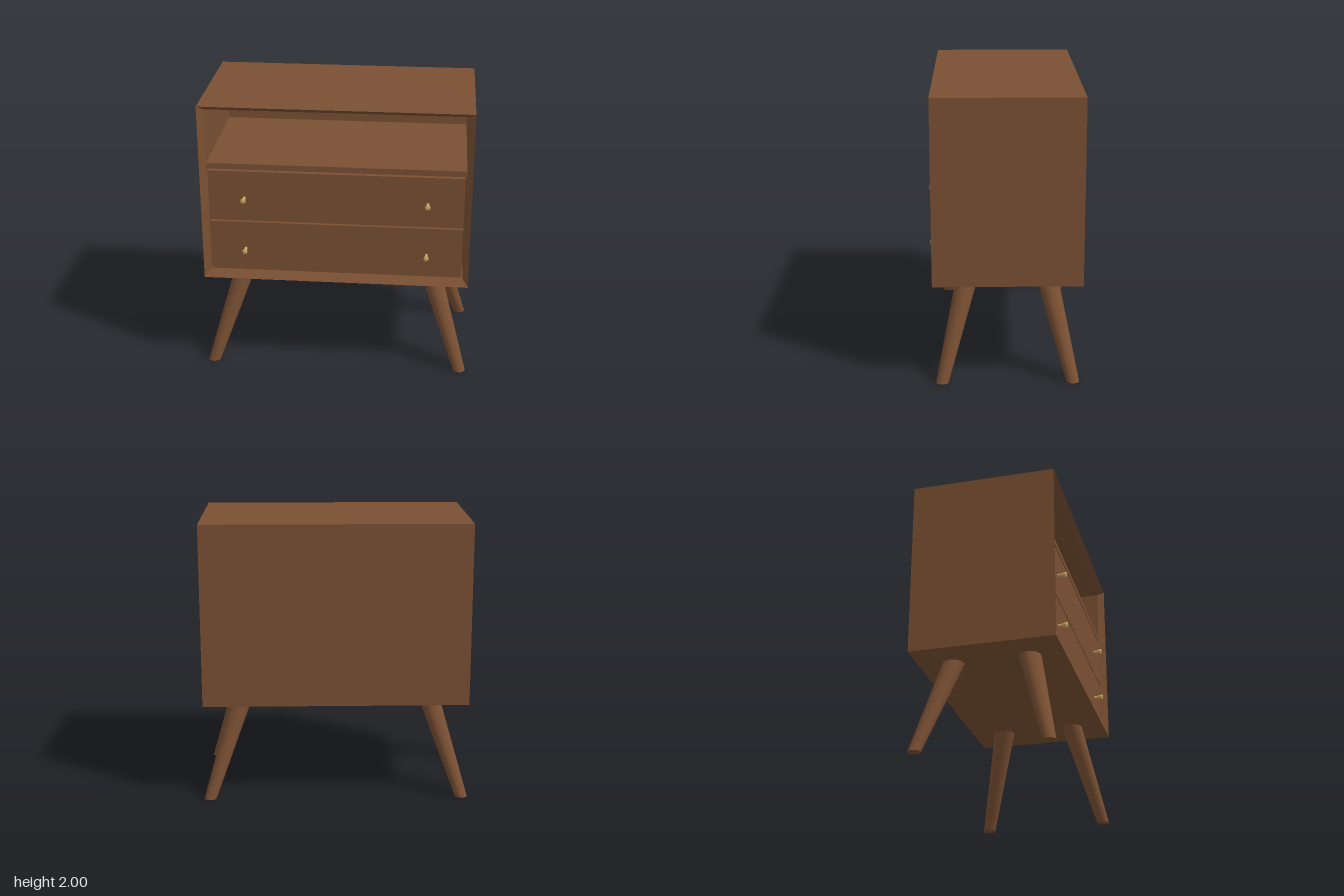
import * as THREE from 'three';

const wood = new THREE.MeshStandardMaterial({ color: 0x7a5033 });
wood.name = 'walnut wood';
const brass = new THREE.MeshStandardMaterial({ color: 0xd2ac66 });
brass.name = 'brass';

// Skins a series of rectangular rings [halfWidth, bottom, top, z], capping both ends
function ringShell(rings) {
  const corners = rings.map(([w, b, t, z]) => [[-w, b, z], [w, b, z], [w, t, z], [-w, t, z]]);
  const pos = [];
  const quad = (a, b, c, d) => pos.push(...a, ...b, ...c, ...a, ...c, ...d);
  for (let i = 0; i < corners.length - 1; i++) {
    for (let j = 0; j < 4; j++) {
      const k = (j + 1) % 4;
      quad(corners[i][j], corners[i][k], corners[i + 1][k], corners[i + 1][j]);
    }
  }
  const [a, b, c, d] = corners[0];
  quad(d, c, b, a);
  quad(...corners[corners.length - 1]);
  const geo = new THREE.BufferGeometry();
  geo.setAttribute('position', new THREE.Float32BufferAttribute(pos, 3));
  geo.computeVertexNormals();
  return geo;
}

export function createModel() {
  const model = new THREE.Group();
  model.name = 'nightstand';

  const add = (name, geo, mat, x = 0, y = 0, z = 0, parent = model) => {
    const mesh = new THREE.Mesh(geo, mat);
    mesh.name = name;
    mesh.position.set(x, y, z);
    parent.add(mesh);
    return mesh;
  };

  // Hollow case with mitred, bevelled front rim
  add('case', ringShell([
    [0.94, 0.71, 2, -0.515],
    [0.94, 0.71, 2, 0.505],
    [0.9, 0.755, 1.965, 0.455],
    [0.9, 0.755, 1.965, -0.475],
  ]), wood);

  // Shelf under the open compartment
  add('shelf', new THREE.BoxGeometry(1.8, 0.042, 0.93), wood, 0, 1.553, -0.01);

  // Knob profile: thin stem flaring to a flat head
  const knobGeo = new THREE.LatheGeometry([
    [0.01, 0], [0.01, 0.025], [0.018, 0.055], [0.018, 0.066], [0, 0.066],
  ].map(([r, h]) => new THREE.Vector2(r, h)), 16);
  knobGeo.rotateX(Math.PI / 2);

  // Two drawers with narrow gaps around them, two knobs each
  [['upperDrawer', 1.332, 1.32], ['lowerDrawer', 0.948, 0.93]].forEach(([name, y, knobY]) => {
    const drawer = new THREE.Group();
    drawer.name = name;
    model.add(drawer);
    add('drawerFront', new THREE.BoxGeometry(1.782, 0.372, 0.9), wood, 0, y, 0.005, drawer);
    for (const side of [-1, 1]) add('knob', knobGeo, brass, side * 0.64, knobY, 0.454, drawer);
  });

  // Tapered legs, sheared outwards so both ends stay level
  for (const sx of [-1, 1]) {
    for (const sz of [-1, 1]) {
      const geo = new THREE.CylinderGeometry(0.077, 0.044, 0.712, 32);
      geo.translate(0, 0.356, 0);
      const shear = new THREE.Matrix4().set(
        1, -sx * 0.327, 0, 0,
        0, 1, 0, 0,
        0, -sz * 0.253, 1, 0,
        0, 0, 0, 1);
      geo.applyMatrix4(shear);
      add((sz > 0 ? 'front' : 'back') + (sx > 0 ? 'LeftLeg' : 'RightLeg'), geo, wood,
        sx * 0.905, 0, sz * 0.45 - 0.005);
    }
  }
  return model;
}
